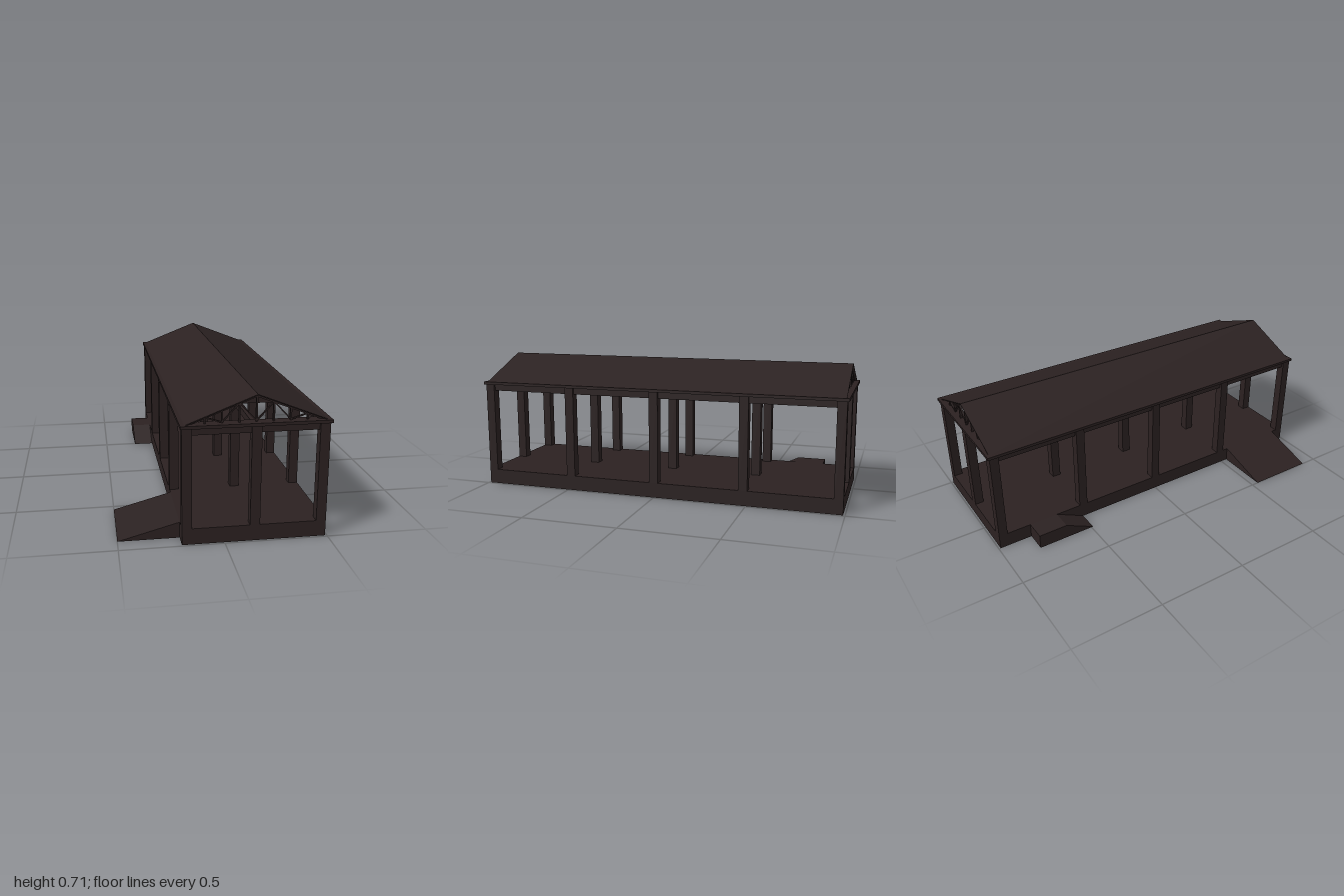
import * as THREE from 'three';

export function createModel() {
  const model = new THREE.Group();
  const mat = new THREE.MeshStandardMaterial({ color: 0x2b2121, side: THREE.DoubleSide });
  mat.name = 'dark brown';

  // Box given by its lower and upper corners
  function box(name, x0, x1, y0, y1, z0, z1) {
    const m = new THREE.Mesh(new THREE.BoxGeometry(x1 - x0, y1 - y0, z1 - z0), mat);
    m.position.set((x0 + x1) / 2, (y0 + y1) / 2, (z0 + z1) / 2);
    m.name = name;
    model.add(m);
    return m;
  }

  // Hollow block on the ground, open below; the chosen top edge may drop to the ground
  function shell(name, x0, x1, z0, z1, isLow = () => false) {
    const g = box(name, x0, x1, 0, 0.08, z0, z1).geometry;
    const p = g.attributes.position;
    for (let i = 0; i < p.count; i++) if (isLow(p.getX(i), p.getZ(i))) p.setY(i, -0.04);
    const faces = Array.from(g.index.array);
    faces.splice(18, 6); // bottom face
    g.setIndex(faces);
    g.clearGroups();
    g.computeVertexNormals();
  }

  // Bar between two points in the xy plane
  function bar(parent, a, b, width, depth) {
    const dx = b[0] - a[0], dy = b[1] - a[1];
    const m = new THREE.Mesh(new THREE.BoxGeometry(Math.hypot(dx, dy), width, depth), mat);
    m.position.set((a[0] + b[0]) / 2, (a[1] + b[1]) / 2, 0);
    m.rotation.z = Math.atan2(dy, dx);
    m.name = 'trussBar';
    parent.add(m);
  }

  const cx = 0.145, xs = [-0.179, cx, 0.467], zs = [0.966, 0.483, 0, -0.483, -0.966];
  const h = 0.024, b = 0.012;

  // Floor, wide entrance ramp, and side landing with its small ramp
  shell('floorBase', -0.203, 0.491, -0.99, 0.99);
  shell('entranceRamp', -0.5, -0.203, 0.54, 0.91, x => x < 0);
  shell('sideLanding', -0.315, -0.203, -0.81, -0.65);
  shell('sideRamp', -0.315, -0.203, -0.65, -0.49, (x, z) => z > 0);

  // Columns
  for (const z of zs) for (const x of xs) box('column', x - h, x + h, 0.08, 0.568, z - h, z + h);

  // Beams between the columns
  for (const z of zs) for (let i = 0; i < 2; i++)
    box('crossBeam', xs[i] + h, xs[i + 1] - h, 0.533, 0.568, z - b, z + b);
  for (const x of xs) for (let i = 0; i < 4; i++)
    box('longBeam', x - b, x + b, 0.533, 0.568, zs[i + 1] + h, zs[i] - h);

  // Eave band around the top
  box('eaveBand', -0.21, -0.15, 0.568, 0.583, -1, 1);
  box('eaveBand', 0.44, 0.5, 0.568, 0.583, -1, 1);
  for (const s of [-1, 1]) box('endBand', -0.15, 0.44, 0.568, 0.583, s * 0.968 - 0.032, s * 0.968 + 0.032);
  for (const z of zs.slice(1, 4)) box('tieBeam', -0.15, 0.44, 0.568, 0.583, z - b, z + b);

  // Roof trusses
  const topY = d => 0.7045 - d * 0.387;
  for (const z of zs) {
    const truss = new THREE.Group();
    truss.name = 'truss';
    truss.position.z = z;
    bar(truss, [cx, 0.583], [cx, topY(0)], 0.008, 0.012);
    for (const s of [-1, 1]) {
      const at = (d, y) => [cx + s * d, y];
      bar(truss, at(0, topY(0)), at(0.315, topY(0.315)), 0.009, 0.014);
      for (const d of [0.08, 0.16, 0.24]) bar(truss, at(d, 0.583), at(d, topY(d)), 0.008, 0.012);
      bar(truss, at(0, 0.586), at(0.08, topY(0.08)), 0.006, 0.01);
      bar(truss, at(0.16, 0.586), at(0.08, topY(0.08)), 0.006, 0.01);
      bar(truss, at(0.16, 0.586), at(0.24, topY(0.24)), 0.006, 0.01);
    }
    model.add(truss);
  }

  // Thin pitched roof
  const profile = [[-0.335, 0.583], [-0.322, 0.583], [0, 0.709], [0.322, 0.583], [0.335, 0.583], [0, 0.714]];
  const roofShape = new THREE.Shape(profile.map(p => new THREE.Vector2(cx + p[0], p[1])));
  const roof = new THREE.Mesh(
    new THREE.ExtrudeGeometry(roofShape, { depth: 1.97, bevelEnabled: false }), mat);
  roof.position.z = -0.985;
  roof.name = 'roof';
  model.add(roof);

  return model;
}
